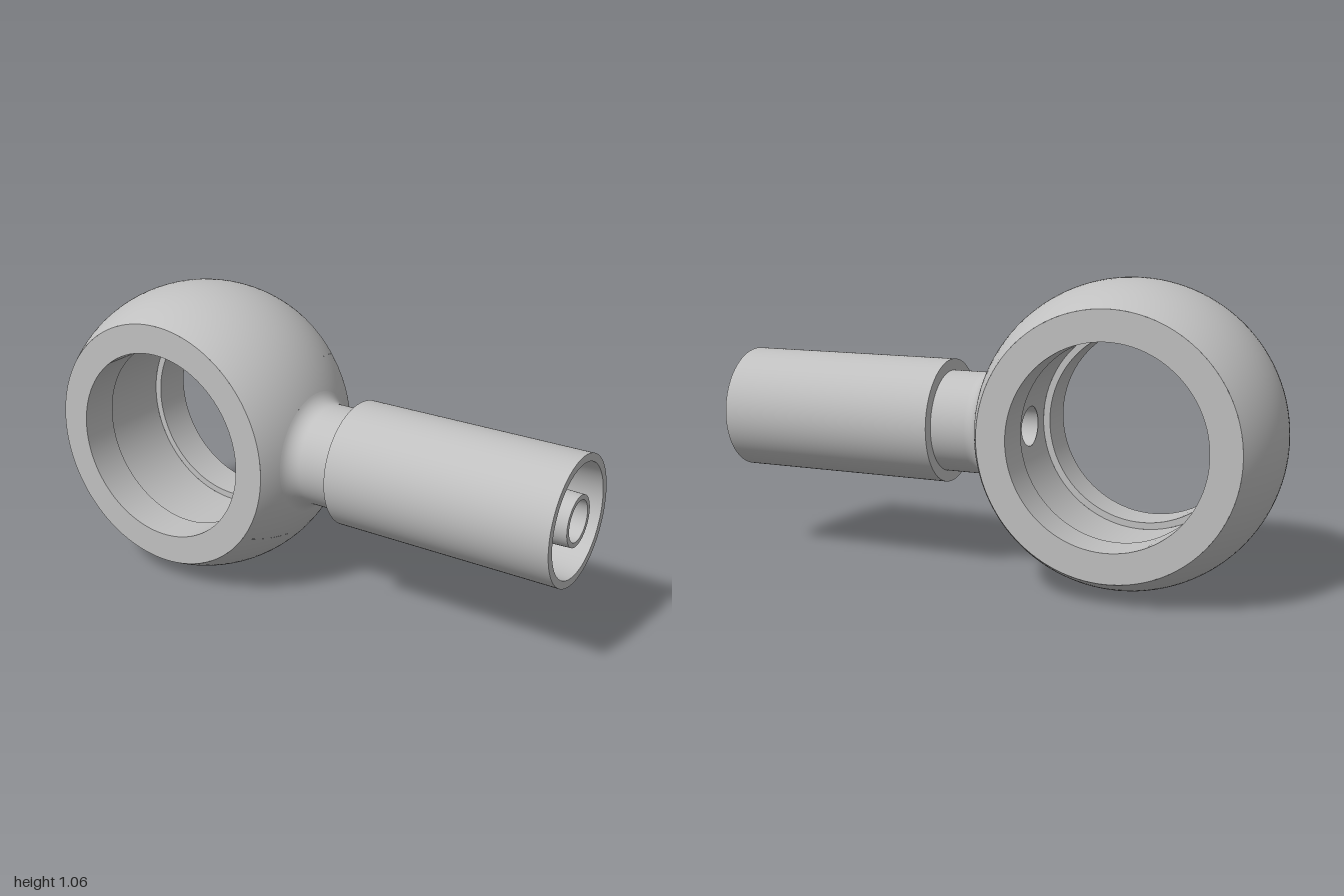
import * as THREE from 'three';

const CX = -0.472, CY = 0.528;          // ring centre
const R = 0.528, HALF = 0.28;           // ball radius, half thickness
const BORE = 0.343, GROOVE = 0.367, GROOVE_HALF = 0.14;
const CHANNEL = 0.07, NECK = 0.18, FILLET = 0.06;

// One surface of revolution; points run so that the outside is on their right
function lathe(points, start = 0, length = Math.PI * 2) {
  return new THREE.LatheGeometry(points.map(([r, y]) => new THREE.Vector2(r, y)), 96, start, length);
}

// Patch of a ring wall facing +x with a round hole in it; radiusAt(z) gives the wall radius
function holedPatch(radiusAt, hole, halfAngle, halfZ, isBall) {
  const around = 64, out = 10, pos = [], nor = [], idx = [];
  const side = isBall ? 1 : -1;
  for (let j = 0; j <= out; j++) {
    for (let i = 0; i < around; i++) {
      const t = (i / around) * Math.PI * 2, c = Math.cos(t), s = Math.sin(t);
      const m = Math.max(Math.abs(c), Math.abs(s)), k = j / out;
      const z0 = hole * s, a0 = Math.asin((hole * c) / radiusAt(z0));
      const a = THREE.MathUtils.lerp(a0, (halfAngle * c) / m, k);
      const z = THREE.MathUtils.lerp(z0, (halfZ * s) / m, k);
      const r = radiusAt(z);
      const p = new THREE.Vector3(r * Math.cos(a), r * Math.sin(a), z);
      pos.push(p.x, p.y, p.z);
      const n = p.clone().setZ(isBall ? z : 0).normalize().multiplyScalar(side);
      nor.push(n.x, n.y, n.z);
      if (j === out) continue;
      const p0 = j * around + i, p1 = j * around + (i + 1) % around;
      const q0 = p0 + around, q1 = p1 + around;
      if (isBall) idx.push(p0, q0, p1, p1, q0, q1);
      else idx.push(p0, p1, q0, p1, q1, q0);
    }
  }
  const g = new THREE.BufferGeometry();
  g.setAttribute('position', new THREE.Float32BufferAttribute(pos, 3));
  g.setAttribute('normal', new THREE.Float32BufferAttribute(nor, 3));
  g.setIndex(idx);
  return g;
}

export function createModel() {
  const model = new THREE.Group();
  model.name = 'ringFitting';
  const steel = new THREE.MeshStandardMaterial({ color: 0xc0c0c0 });
  steel.name = 'steel grey';

  const add = (parent, name, geometry) => {
    const mesh = new THREE.Mesh(geometry, steel);
    mesh.name = name;
    parent.add(mesh);
  };

  // Ring: a truncated ball with a grooved bore along z
  const ring = new THREE.Group();
  ring.name = 'ring';
  ring.position.set(CX, CY, 0);
  model.add(ring);
  const ringPart = (name, points, gap = 0) =>
    add(ring, name, lathe(points, Math.PI / 2 + gap, Math.PI * 2 - 2 * gap).rotateX(Math.PI / 2));

  const ballRadius = z => Math.sqrt(R * R - z * z);
  const faceR = ballRadius(HALF);
  const ballProfile = [];
  const limit = Math.asin(HALF / R);
  for (let i = 0; i <= 24; i++) {
    const a = -limit + (2 * limit * i) / 24;
    ballProfile.push([R * Math.cos(a), R * Math.sin(a)]);
  }
  const BALL_GAP = 0.62, GROOVE_GAP = 0.4;
  ringPart('ballSurface', ballProfile, BALL_GAP);
  ringPart('frontFace', [[faceR, HALF], [BORE, HALF]]);
  ringPart('frontBore', [[BORE, HALF], [BORE, GROOVE_HALF]]);
  ringPart('frontGrooveStep', [[BORE, GROOVE_HALF], [GROOVE, GROOVE_HALF]]);
  ringPart('grooveWall', [[GROOVE, GROOVE_HALF], [GROOVE, -GROOVE_HALF]], GROOVE_GAP);
  ringPart('backGrooveStep', [[GROOVE, -GROOVE_HALF], [BORE, -GROOVE_HALF]]);
  ringPart('backBore', [[BORE, -GROOVE_HALF], [BORE, -HALF]]);
  ringPart('backFace', [[BORE, -HALF], [faceR, -HALF]]);

  // Fillet tangent to both the ball and the neck
  const filletR = NECK + FILLET;
  const filletDx = Math.sqrt((R + FILLET) ** 2 - filletR ** 2);
  const startAngle = Math.atan2(filletR, filletDx);
  const neckProfile = [];
  for (let i = 0; i <= 10; i++) {
    const a = THREE.MathUtils.lerp(Math.PI + startAngle, Math.PI * 1.5, i / 10);
    neckProfile.push([filletR + FILLET * Math.sin(a), CX + filletDx + FILLET * Math.cos(a)]);
  }
  neckProfile.push([NECK, 0.19]);

  // Wall pieces pierced by the neck and by the channel
  add(ring, 'ballNeckOpening', holedPatch(ballRadius, neckProfile[0][0], BALL_GAP, HALF, true));
  add(ring, 'grooveChannelOpening', holedPatch(() => GROOVE, CHANNEL, GROOVE_GAP, GROOVE_HALF, false));

  // Stem along +x: neck, crimp sleeve, hose nipple and the channel through it
  const stem = new THREE.Group();
  stem.name = 'stem';
  stem.position.y = CY;
  model.add(stem);
  const stemParts = {
    neck: neckProfile,
    sleeveBack: [[NECK, 0.19], [0.22, 0.19]],
    sleeveOutside: [[0.22, 0.19], [0.22, 1]],
    sleeveRim: [[0.22, 1], [0.193, 1]],
    sleeveInside: [[0.193, 1], [0.167, 0.3]],
    sleeveFloor: [[0.167, 0.3], [0.108, 0.3]],
    nipple: [[0.108, 0.3], [0.087, 1]],
    nippleTip: [[0.087, 1], [CHANNEL, 1]],
    channel: [[CHANNEL, 1], [CHANNEL, CX + 0.361]],
  };
  for (const [name, points] of Object.entries(stemParts))
    add(stem, name, lathe(points).rotateZ(-Math.PI / 2));

  return model;
}
